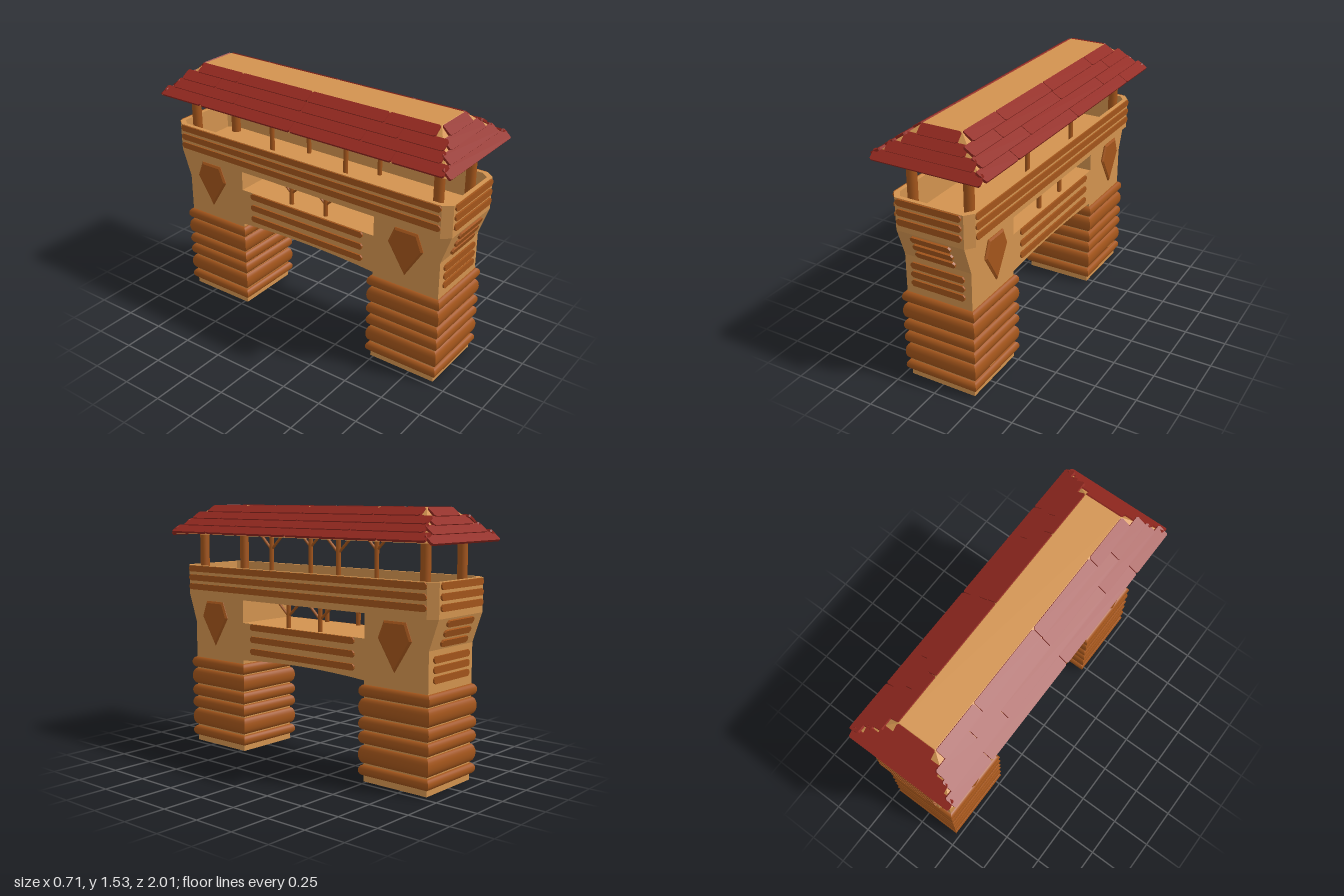
import * as THREE from 'three';
import { toCreasedNormals } from 'three/addons/utils/BufferGeometryUtils.js';

const mat = (color) => new THREE.MeshStandardMaterial({ color, roughness: 0.9 });

export function createModel() {
  const root = new THREE.Group();
  root.name = 'coveredGate';
  const tan = mat(0xd2934f), wood = mat(0xa3551b), red = mat(0x92281f);

  const add = (parent, name, geometry, material, x = 0, y = 0, z = 0, rx = 0) => {
    const mesh = new THREE.Mesh(geometry, material);
    mesh.name = name;
    mesh.position.set(x, y, z);
    mesh.rotation.x = rx;
    parent.add(mesh);
    return mesh;
  };
  const polygon = (points) => new THREE.Shape(points.map(([x, y]) => new THREE.Vector2(x, y)));
  const extrude = (shape, depth) => new THREE.ExtrudeGeometry(shape, { depth, bevelEnabled: false });

  // Board with clipped corners, lying in xy with its back at z = 0
  const board = (w, h, t, c = 0.012) => {
    const a = w / 2, b = h / 2;
    return extrude(polygon([[-a + c, -b], [a - c, -b], [a, -b + c], [a, b - c],
      [a - c, b], [-a + c, b], [-a, b - c], [-a, -b + c]]), t);
  };

  // Groups whose local +z points outward from an end or a long side
  const facing = (name, angle) => {
    const g = new THREE.Group();
    g.name = name;
    g.rotation.y = angle;
    root.add(g);
    return g;
  };
  const ends = [facing('frontEnd', 0), facing('backEnd', Math.PI)];
  const sides = [facing('leftSide', Math.PI / 2), facing('rightSide', -Math.PI / 2)];

  // Main body: legs, arched beam, flared ends and the window through the middle
  const half = [[0.48, 0.58], [0.48, 0], [0.91, 0], [0.91, 0.79], [0.97, 0.965]];
  const mirrored = half.map(([z, y]) => [-z, y]).reverse();
  const arch = [];
  for (let i = 1; i < 8; i++) {
    const z = -0.48 + 0.12 * i;
    arch.push([z, 0.6 - 0.02 * (z / 0.48) ** 2]);
  }
  const profile = polygon([...arch, ...half, ...mirrored]);
  profile.holes.push(polygon([[-0.48, 0.815], [-0.48, 0.962], [0.48, 0.962], [0.48, 0.815]]));
  const bodyGeo = extrude(profile, 0.42);
  bodyGeo.rotateY(-Math.PI / 2);
  add(root, 'body', bodyGeo, tan, 0.21);

  // Walkway: deck and parapet with clipped corners
  const ring = (x, z, cx, cz) => polygon([[x, -z + cz], [x, z - cz], [x - cx, z], [-x + cx, z],
    [-x, z - cz], [-x, -z + cz], [-x + cx, -z], [x - cx, -z]]);
  const deckGeo = extrude(ring(0.245, 0.965, 0.04, 0.05), 0.02);
  deckGeo.rotateX(-Math.PI / 2);
  add(root, 'deck', deckGeo, tan, 0, 0.962);
  const wall = ring(0.25, 0.97, 0.04, 0.05);
  wall.holes.push(ring(0.225, 0.945, 0.035, 0.045));
  const wallGeo = extrude(wall, 0.193);
  wallGeo.rotateX(-Math.PI / 2);
  add(root, 'parapet', wallGeo, tan, 0, 0.962);

  // Stacked logs, mitred around each leg
  const logRows = [[0.035, 0.1], [0.107, 0.213], [0.22, 0.295], [0.3, 0.375], [0.38, 0.483], [0.488, 0.558]];
  const logGeo = ([y0, y1]) => {
    const points = [];
    for (let k = 0; k <= 10; k++) {
      const t = (k / 10 - 0.5) * Math.PI;
      const r = 0.207 + 0.026 * Math.cos(t);
      points.push(new THREE.Vector2(r * Math.SQRT2, (y0 + y1) / 2 + Math.sin(t) * (y1 - y0) / 2));
    }
    const g = new THREE.LatheGeometry(points, 4);
    g.rotateY(Math.PI / 4);
    g.scale(1, 1, 1.025);
    return toCreasedNormals(g, 0.6);
  };
  for (const row of logRows) {
    const g = logGeo(row);
    for (const s of [1, -1]) add(root, 'legLogs', g, wood, 0, 0, s * 0.695);
  }

  // Boards on the ends: parapet, flare and lower wall
  for (const end of ends) {
    for (let i = 0; i < 3; i++) {
      add(end, 'parapetBoard', board(0.4, 0.038, 0.012), wood, 0, 1.02 + 0.057 * i, 0.969);
      const y = 0.825 + 0.054 * i;
      add(end, 'flareBoard', board(0.25, 0.038, 0.014), wood, 0, y, 0.909 + (y - 0.79) * 0.343, 0.33);
      add(end, 'lowerBoard', board(0.34, 0.038, 0.012), wood, 0, 0.628 + 0.055 * i, 0.909);
    }
  }

  // Boards and pointed shields on the long sides
  const shield = (s) => polygon([[0, -0.19], [0.115, 0], [0.075, 0.1], [-0.075, 0.1], [-0.115, 0]]
    .map(([x, y]) => [x * s, y * s]));
  const shieldGeo = new THREE.ExtrudeGeometry(shield(0.86), { depth: 0.004, bevelThickness: 0.008, bevelSize: 0.012, bevelSegments: 1 });
  for (const side of sides) {
    for (let i = 0; i < 3; i++) {
      add(side, 'parapetBoard', board(1.84, 0.038, 0.009), wood, 0, 1.02 + 0.057 * i, 0.249);
      add(side, 'beamBoard', board(0.82, 0.038, 0.012), wood, 0, 0.645 + 0.075 * i, 0.209);
    }
    for (const s of [1, -1]) add(side, 'shield', shieldGeo, wood, s * 0.705, 0.835, 0.232);
  }

  // Corner posts and branching supports
  const stick = (parent, name, a, b, r, n = 8) => {
    const from = new THREE.Vector3(...a), to = new THREE.Vector3(...b);
    const dir = to.clone().sub(from);
    const m = add(parent, name, new THREE.CylinderGeometry(r, r, dir.length(), n), wood);
    m.position.copy(from).lerp(to, 0.5);
    m.quaternion.setFromUnitVectors(new THREE.Vector3(0, 1, 0), dir.normalize());
  };
  const support = (parent, x, y0, fork, y1) => {
    stick(parent, 'supportStem', [x, y0, 0.175], [x, y1, 0.175], 0.014);
    for (const s of [1, -1])
      stick(parent, 'supportBranch', [x, fork, 0.175], [x + s * 0.09, y1, 0.175], 0.008, 6);
  };
  for (const side of sides) {
    for (const s of [1, -1]) {
      stick(side, 'cornerPost', [s * 0.857, 0.97, 0.175], [s * 0.857, 1.37, 0.175], 0.029, 16);
      support(side, s * 0.262, 0.97, 1.275, 1.362);
      support(side, s * 0.125, 0.81, 0.885, 0.968);
    }
  }

  // Roof core: a box narrowed towards its flat top
  const roofGeo = new THREE.BoxGeometry(0.67, 0.173, 1.96);
  const p = roofGeo.attributes.position;
  for (let i = 0; i < p.count; i++)
    if (p.getY(i) > 0) p.setXYZ(i, Math.sign(p.getX(i)) * 0.117, p.getY(i), Math.sign(p.getZ(i)) * 0.817);
  roofGeo.computeVertexNormals();
  add(root, 'roofCore', roofGeo, tan, 0, 1.4445);

  // Overlapping shingle rows; each row is a list of joints along its width
  const shingles = (parent, d0, y0, d1, y1, rows) => {
    const a = Math.atan2(y1 - y0, d0 - d1);
    const slant = Math.hypot(y1 - y0, d0 - d1) / rows.length;
    rows.forEach((cuts, i) => {
      const f = (i + 0.5) / rows.length;
      for (let k = 0; k + 1 < cuts.length; k++)
        add(parent, 'shingle', board(cuts[k + 1] - cuts[k] - 0.004, slant + 0.006, 0.014, 0.008), red,
          (cuts[k] + cuts[k + 1]) / 2, y0 + (y1 - y0) * f, d0 + (d1 - d0) * f, a - Math.PI / 2 - 0.09);
    });
  };
  for (const side of sides)
    shingles(side, 0.341, 1.36, 0.12, 1.524, [
      [-0.97, -0.66, 0, 0.66, 0.97], [-0.92, -0.44, 0.44, 0.92],
      [-0.9, -0.63, 0, 0.63, 0.9], [-0.82, -0.51, 0, 0.51, 0.82]]);
  for (const end of ends)
    shingles(end, 0.99, 1.346, 0.82, 1.524, [
      [-0.33, 0.33], [-0.265, 0.265], [-0.19, 0.19], [-0.122, 0.122]]);

  return root;
}
